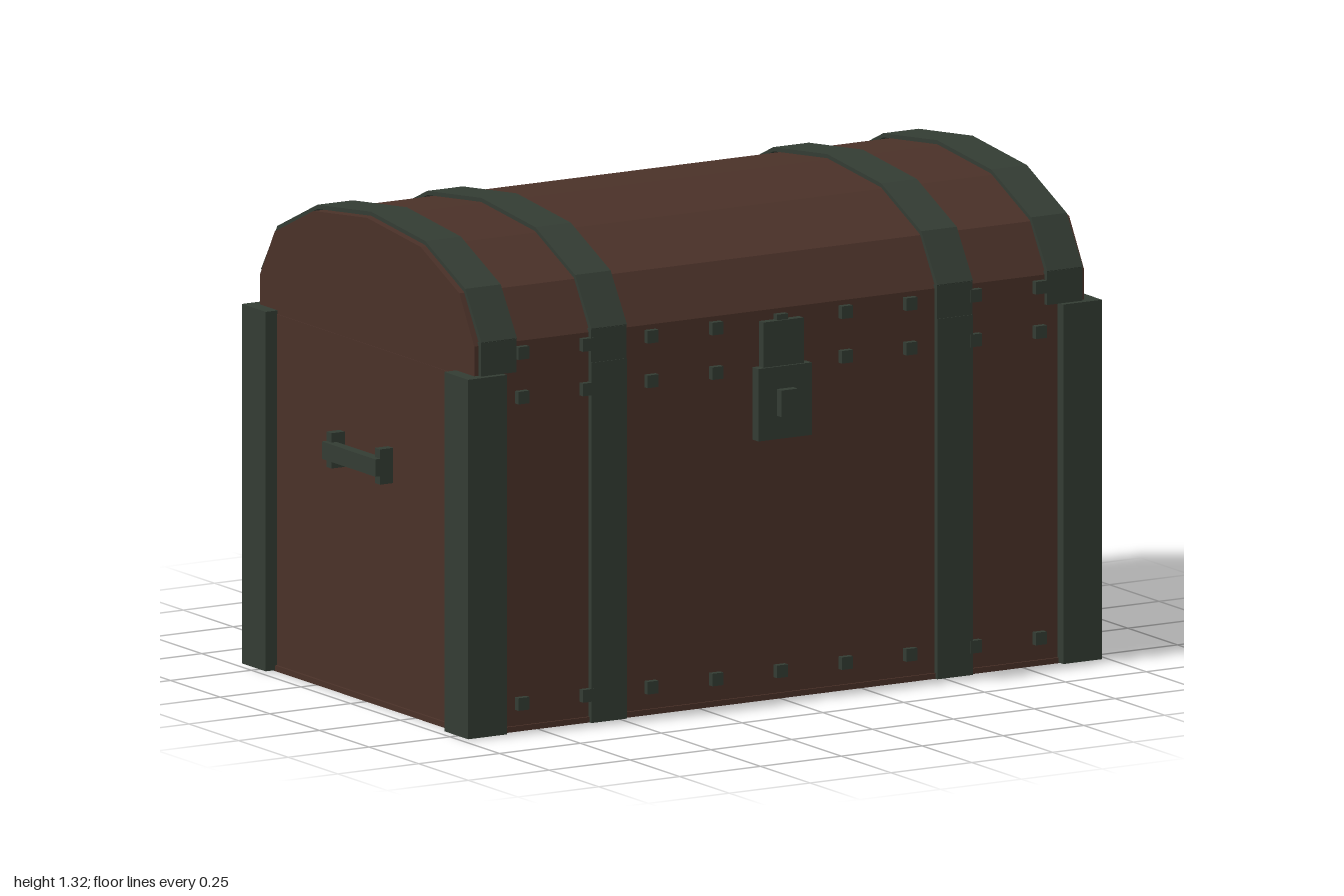
import * as THREE from 'three';

const wood = new THREE.MeshStandardMaterial({ color: 0x4a3128 });
wood.name = 'brown wood';
const iron = new THREE.MeshStandardMaterial({ color: 0x333c33 });
iron.name = 'dark green iron';

const CZ = -0.01; // depth centre of the chest body

// Box given by its lower and upper limits on each axis
function box(parent, name, mat, [x0, x1], [y0, y1], [z0, z1]) {
  const mesh = new THREE.Mesh(new THREE.BoxGeometry(x1 - x0, y1 - y0, z1 - z0), mat);
  mesh.position.set((x0 + x1) / 2, (y0 + y1) / 2, (z0 + z1) / 2);
  mesh.name = name;
  parent.add(mesh);
  return mesh;
}

// Side profile (z, y) extruded along x
function sideExtrude(parent, name, mat, points, width, x) {
  const shape = new THREE.Shape(points.map(([z, y]) => new THREE.Vector2(z, y)));
  const geo = new THREE.ExtrudeGeometry(shape, { depth: width, bevelEnabled: false });
  geo.translate(0, 0, -width / 2);
  geo.rotateY(-Math.PI / 2);
  const mesh = new THREE.Mesh(geo, mat);
  mesh.position.set(x, 0, CZ);
  mesh.name = name;
  parent.add(mesh);
}

// Six-facet arch, mirrored about its centre
function arch(half) {
  return [...half, ...half.slice(0, -1).reverse().map(([z, y]) => [-z, y])];
}

export function createModel() {
  const chest = new THREE.Group();
  chest.name = 'chest';

  // Wooden box and its base
  box(chest, 'body', wood, [-0.945, 0.945], [0.015, 0.96], [-0.55, 0.53]);
  box(chest, 'base', wood, [-0.952, 0.952], [0, 0.015], [-0.556, 0.536]);

  // Faceted lid
  const lid = arch([[0.54, 1.05], [0.465, 1.18], [0.27, 1.27], [0, 1.3]]);
  sideExtrude(chest, 'lid', wood, [[0.54, 0.96], ...lid, [-0.54, 0.96]], 1.886, 0);

  // Arched lid straps, standing just clear of the wood
  const outer = arch([[0.555, 1.062], [0.473, 1.192], [0.272, 1.285], [0, 1.315]]);
  const inner = arch([[0.544, 1.055], [0.467, 1.183], [0.271, 1.274], [0, 1.304]]);
  const strap = [...outer, ...inner.reverse()];

  for (const s of [-1, 1]) {
    for (const x of [0.875, 0.535]) {
      sideExtrude(chest, 'lidStrap', iron, strap, 0.11, s * x);
      box(chest, 'lidStrapEnd', iron, [s * x - 0.055, s * x + 0.055], [0.97, 1.06], [0.525, 0.543]);
    }

    // Upright straps on front and back
    const sx = [s * 0.535 - 0.055, s * 0.535 + 0.055];
    box(chest, 'frontStrap', iron, sx, [0, 0.97], [0.52, 0.545]);
    box(chest, 'backStrap', iron, sx, [0, 0.96], [-0.567, -0.54]);

    // Corner posts
    const px = [s * 0.92 - 0.06, s * 0.92 + 0.06];
    box(chest, 'frontCornerPost', iron, px, [0.002, 0.97], [0.44, 0.56]);
    box(chest, 'backCornerPost', iron, px, [0.002, 0.97], [-0.58, -0.46]);

    // Side handle with a mount at each end
    const handle = new THREE.Group();
    handle.name = 'handle';
    chest.add(handle);
    box(handle, 'handleBar', iron, [s * 0.985 - 0.015, s * 0.985 + 0.015], [0.633, 0.68], [-0.145, 0.125]);
    for (const z of [0.112, -0.132]) {
      box(handle, 'handleMount', iron, [s * 0.963 - 0.023, s * 0.963 + 0.023], [0.61, 0.705], [z - 0.013, z + 0.013]);
    }
  }

  // Rows of square studs
  for (const y of [0.075, 0.9, 1.02]) {
    for (let i = -4; i <= 4; i++) {
      const x = i * 0.2;
      box(chest, 'stud', iron, [x - 0.017, x + 0.017], [y - 0.017, y + 0.017], [0.52, 0.547]);
    }
  }

  // Lock
  box(chest, 'hasp', iron, [-0.062, 0.062], [0.88, 1.022], [0.525, 0.553]);
  box(chest, 'lockPlate', iron, [-0.083, 0.083], [0.705, 0.9], [0.525, 0.56]);
  box(chest, 'lockCatch', iron, [-0.025, 0.025], [0.768, 0.84], [0.55, 0.583]);

  return chest;
}
